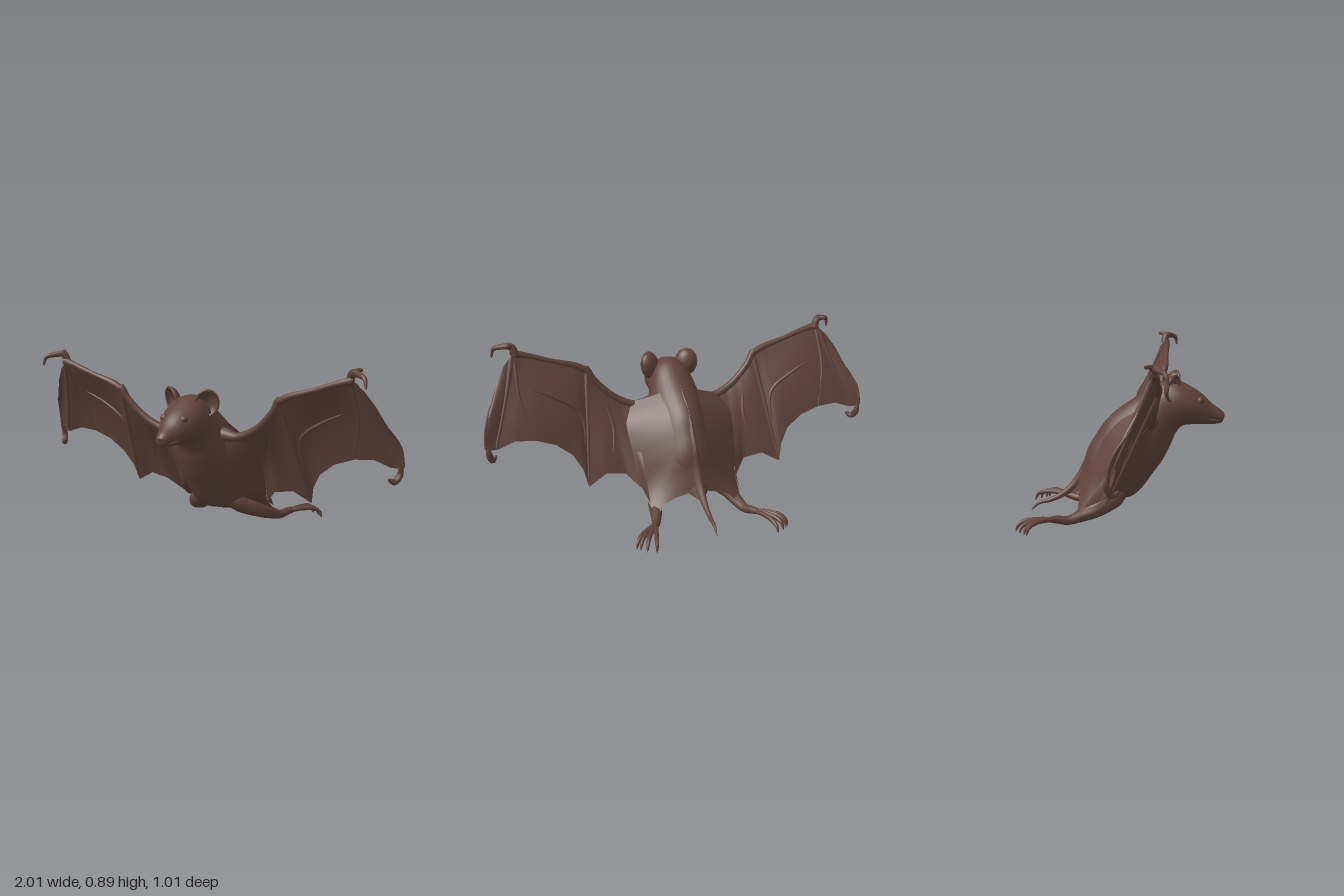
import * as THREE from 'three';

const fur = new THREE.MeshStandardMaterial({ color: 0x60433a, side: THREE.DoubleSide });
fur.name = 'brown fur';

const V = (p, s = 1) => new THREE.Vector3(p[0] * s, p[1], p[2]);

function add(group, name, geometry) {
  const mesh = new THREE.Mesh(geometry, fur);
  mesh.name = name;
  group.add(mesh);
  return mesh;
}

// Tapered, closed tube through points [x, y, z, radius]
function limb(pts, s = 1, steps = 24, sides = 10) {
  const curve = new THREE.CatmullRomCurve3(pts.map(p => V(p, s)));
  const geo = new THREE.TubeGeometry(curve, steps, 1, sides);
  const pos = geo.attributes.position, v = new THREE.Vector3();
  for (let i = 0; i <= steps; i++) {
    const centre = curve.getPointAt(i / steps);
    const t = curve.getUtoTmapping(i / steps) * (pts.length - 1);
    const k = Math.min(Math.floor(t), pts.length - 2);
    const r = i === 0 || i === steps ? 0 : THREE.MathUtils.lerp(pts[k][3], pts[k + 1][3], t - k);
    for (let j = 0; j <= sides; j++) {
      const n = i * (sides + 1) + j;
      v.fromBufferAttribute(pos, n).sub(centre).multiplyScalar(r).add(centre);
      pos.setXYZ(n, v.x, v.y, v.z);
    }
  }
  return geo;
}

// Grid surface from a rule f(u, w) -> Vector3; wrap joins the last column to the first
function grid(rows, cols, f, wrap = false) {
  const pos = [], idx = [], n = wrap ? cols : cols + 1;
  for (let i = 0; i <= rows; i++) for (let j = 0; j < n; j++) pos.push(...f(i / rows, j / cols).toArray());
  for (let i = 0; i < rows; i++) for (let j = 0; j < cols; j++) {
    const a = i * n + j, b = i * n + (j + 1) % n;
    idx.push(a, a + n, b, b, a + n, b + n);
  }
  const geo = new THREE.BufferGeometry();
  geo.setAttribute('position', new THREE.Float32BufferAttribute(pos, 3));
  geo.setIndex(idx);
  geo.computeVertexNormals();
  return geo;
}

// Point on a polyline at a fractional index
function along(pts, t, s) {
  const k = Math.min(Math.floor(t), pts.length - 2);
  return V(pts[k], s).lerp(V(pts[k + 1], s), t - k);
}

// Skin stretched from an inner line to an outer line, leaving the inner line along a given offset
function skin(inner, outer, offset, s) {
  const a = new THREE.CatmullRomCurve3(inner.map(p => V(p, s)));
  const b = new THREE.CatmullRomCurve3(outer.map(p => V(p, s)));
  return grid(36, 16, (u, w) => {
    const p = a.getPoint(u);
    return new THREE.QuadraticBezierCurve3(p, p.clone().add(V(offset, s)), b.getPoint(u)).getPoint(w);
  });
}

// Head and body: [top z, top y, bottom z, bottom y, half width]
const sections = [
  [.508, .545, .508, .535, .006], [.495, .565, .495, .507, .03], [.45, .597, .455, .497, .05],
  [.40, .645, .40, .497, .077], [.34, .685, .345, .495, .1], [.27, .718, .30, .488, .108],
  [.19, .712, .265, .45, .112], [.10, .655, .24, .39, .135], [0, .588, .20, .31, .158],
  [-.08, .52, .15, .24, .165], [-.135, .437, .10, .17, .17], [-.18, .357, .05, .125, .17],
  [-.2, .28, 0, .112, .165], [-.21, .22, -.04, .10, .15], [-.21, .18, -.1, .105, .11],
  [-.21, .16, -.17, .13, .03],
];

function bodyGeometry() {
  const top = new THREE.CatmullRomCurve3(sections.map(q => new THREE.Vector3(q[4], q[1], q[0])));
  const low = new THREE.CatmullRomCurve3(sections.map(q => new THREE.Vector3(q[4], q[3], q[2])));
  return grid(60, 32, (u, w) => {
    const a = top.getPoint(u), b = low.getPoint(u), ang = w * Math.PI * 2;
    // The back is narrower than the belly behind the neck
    const slim = 1 - .28 * THREE.MathUtils.smoothstep(u, .4, .6) * Math.max(0, Math.sin(ang));
    const p = b.clone().lerp(a, .5 + .5 * Math.sin(ang));
    p.x = a.x * Math.cos(ang) * slim;
    return p;
  }, true);
}

// Wing membrane: upper and lower edges, with finger bones at indices 6 and 12
const wingTop = [
  [.06, .57, .14], [.14, .55, .145], [.22, .53, .148], [.29, .55, .155], [.35, .59, .165], [.40, .64, .175],
  [.45, .715, .19], [.50, .738, .19], [.56, .757, .19], [.63, .777, .19], [.70, .80, .19], [.76, .82, .19],
  [.82, .83, .18], [.865, .785, .16], [.91, .715, .13], [.95, .62, .09],
];
const wingLow = [
  [.10, .13, -.15], [.17, .12, -.18], [.235, .10, -.2], [.25, .15, -.09], [.32, .22, -.03], [.42, .237, -.035],
  [.515, .185, -.05], [.535, .27, -.025], [.58, .345, 0], [.66, .405, .01], [.76, .44, .01], [.86, .448, .01],
  [.94, .42, .005], [.965, .42, .003], [.985, .42, 0], [1, .42, 0],
];
function wingPoint(t, v, s) {
  const p = along(wingTop, t, s).lerp(along(wingLow, t, s), v);
  const bow = Math.sin(Math.PI * v);
  p.z -= .022 * bow * Math.abs(Math.sin(Math.PI * t / 6));
  p.x += s * .009 * bow * Math.max(0, t - 13);
  return p;
}
const onWing = (t, v) => wingPoint(t, v, 1).toArray();

// Bones lying in the membrane: lists of [index along wing, depth, radius]
const bones = [
  [[6, 0, .016], [6, .3, .011], [6, .65, .009], [6, 1, .004]],
  [[12, 0, .014], [12, .5, .009], [12.5, 1, .006]],
  [[11.8, .02, .01], [11, .5, .007], [10, 1, .003]],
  [[6.3, .7, .003], [7, .45, .009], [9, .42, .009], [10.3, .38, .003]],
  [[4.4, .2, .004], [4.2, .45, .01], [4.5, .75, .004]],
  [[15, 0, .006], [15, .5, .006], [15, 1, .008]],
];

// Lines where the skin leaves the spine and the chest, and where both meet the wing
const spine = [[0, .63, .06], [0, .575, -.02], [0, .515, -.085], [0, .437, -.14], [0, .36, -.183], [0, .28, -.207], [0, .2, -.235]];
const chest = [[.07, .555, .19], [.095, .48, .185], [.115, .41, .165], [.13, .33, .115], [.14, .24, .05], [.135, .18, 0], [.13, .145, -.04]];
const wingRoot = [onWing(2.2, 0), onWing(3, .25), onWing(3.1, .5), onWing(3, .75), [.25, .15, -.09], [.242, .11, -.15], [.232, .075, -.21]];

function wing(s) {
  const g = new THREE.Group();
  g.name = s > 0 ? 'leftWing' : 'rightWing';
  add(g, 'membrane', grid(64, 16, (u, v) => wingPoint(2.2 + u * 12.8, v, s)));
  add(g, 'backSkin', skin(spine, wingRoot, [.11, -.055, .02], s));
  add(g, 'chestSkin', skin(chest, wingRoot, [.06, 0, -.045], s));
  bones.forEach(b => add(g, 'fingerBone', limb(b.map(([t, v, r]) => [...onWing(t, v), r]), s, 18, 8)));
  add(g, 'arm', limb([[.03, .53, .14, .06], [.11, .525, .145, .04], [.21, .517, .145, .022], [.32, .568, .16, .018],
    [.42, .665, .18, .017], [.455, .72, .19, .02], [.47, .72, .19, .01]], s, 32, 12));
  add(g, 'forearm', limb([[.44, .705, .19, .018], [.50, .737, .195, .018], [.63, .777, .195, .013],
    [.75, .817, .195, .015], [.82, .835, .188, .022], [.83, .84, .188, .014]], s));
  // Hooked thumb, small back claw and curled wing tip
  add(g, 'thumbClaw', limb([[.80, .82, .18, .02], [.82, .868, .19, .019], [.86, .866, .215, .014],
    [.898, .852, .24, .011], [.91, .805, .25, .004]], s));
  add(g, 'backClaw', limb([[.81, .85, .19, .016], [.83, .877, .175, .012], [.85, .88, .145, .007]], s, 12, 8));
  add(g, 'wingTipHook', limb([[.99, .45, .01, .008], [.985, .395, 0, .016], [.968, .36, .025, .016],
    [.945, .375, .05, .007]], s, 16, 8));
  return g;
}

const toeEnds = [[.31, -.505], [.35, -.48], [.375, -.455], [.39, -.44]];

function leg(s) {
  const g = new THREE.Group();
  g.name = s > 0 ? 'leftLeg' : 'rightLeg';
  add(g, 'shin', limb([[.07, .17, 0, .04], [.13, .135, -.04, .048], [.195, .09, -.12, .036], [.217, .063, -.2, .03],
    [.235, .045, -.26, .022], [.255, .055, -.31, .02], [.275, .058, -.35, .014]], s));
  toeEnds.forEach(([x, z]) => {
    const at = (f, y, r) => [.255 + (x - .255) * f, y, -.31 + (z + .31) * f, r];
    add(g, 'toe', limb([at(0, .053, .012), at(.4, .062, .011), at(.75, .058, .011), at(.93, .04, .009), at(1, .004, .003)], s, 18, 8));
  });
  // Skin between hip and tail
  const top = [[0, .27, -.2], [.09, .22, -.17], [.17, .14, -.16], [.22, .09, -.16]];
  const low = [[0, .12, -.28], [.05, .15, -.215], [.15, .12, -.2], [.225, .06, -.235]];
  add(g, 'tailMembrane', grid(18, 8, (u, v) => along(top, u * 3, s).lerp(along(low, u * 3, s), v)));
  return g;
}

// Cupped ear with a rounded rim
function ear(s) {
  const g = new THREE.Group();
  g.name = s > 0 ? 'leftEar' : 'rightEar';
  const cup = add(g, 'earCup', new THREE.SphereGeometry(1, 24, 10, 0, Math.PI * 2, 0, Math.PI / 2).rotateX(-Math.PI / 2));
  cup.scale.set(.056, .068, .04);
  const rim = add(g, 'earRim', new THREE.TorusGeometry(1, .12, 8, 28));
  rim.scale.set(.054, .064, .06);
  g.position.set(s * .1, .686, .252);
  g.rotation.set(.2, s * .5, s * -.2);
  return g;
}

export function createModel() {
  const model = new THREE.Group();
  model.name = 'bat';
  add(model, 'body', bodyGeometry());
  add(model, 'tail', limb([[0, .34, -.165, .02], [0, .26, -.195, .026], [0, .18, -.245, .024], [0, .12, -.315, .015],
    [0, .088, -.38, .011], [0, .07, -.44, .008], [0, .03, -.48, .003]]));
  for (const s of [1, -1]) {
    model.add(wing(s), leg(s), ear(s));
    const eye = add(model, 'eye', new THREE.SphereGeometry(.02, 16, 12));
    eye.position.set(s * .055, .622, .386);
    const nostril = add(model, 'nostril', new THREE.SphereGeometry(.013, 12, 8));
    nostril.position.set(s * .012, .545, .494);
    add(model, 'lip', limb([[.012, .522, .5, .006], [.04, .52, .465, .007], [.058, .53, .42, .003]], s, 12, 6));
  }
  return model;
}
